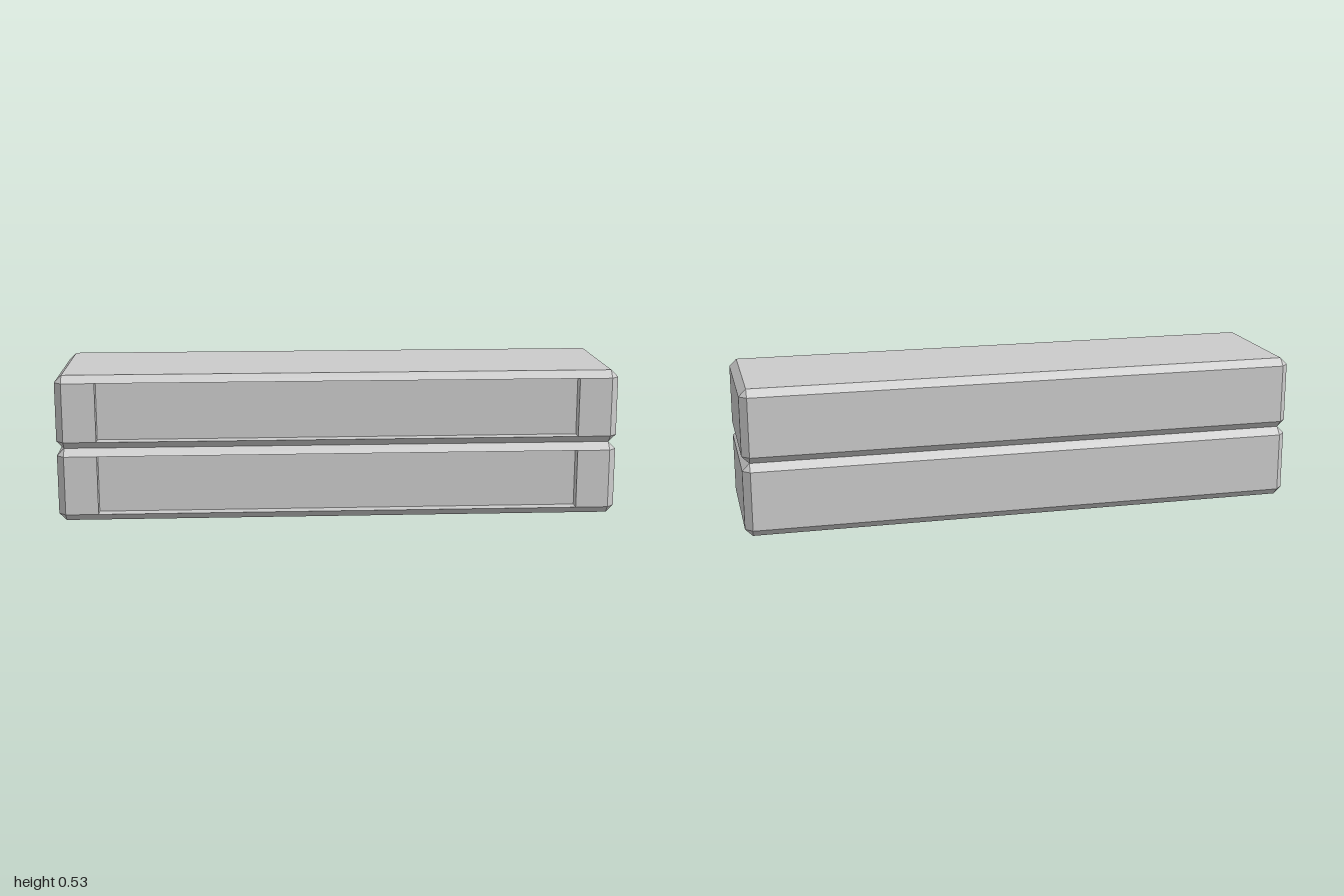
import * as THREE from 'three';

const HALF = [1, 0.1315, 0.259]; // half width, height and depth of one block
const BEVEL = 0.026;
const RECESS_X = 0.858;          // half width of the front recess
const RECESS_DEPTH = 0.043;
const SIGNS = [-1, 1];

// Adds a convex flat face as a fan, turned so that it faces along 'out'.
function addFace(positions, points, out) {
  const p = points.map((q) => new THREE.Vector3(...q));
  const normal = p[1].clone().sub(p[0]).cross(p[2].clone().sub(p[0]));
  if (normal.dot(new THREE.Vector3(...out)) < 0) p.reverse();
  for (let i = 1; i < p.length - 1; i++) {
    for (const v of [p[0], p[i], p[i + 1]]) positions.push(v.x, v.y, v.z);
  }
}

// Corner point lying on the face of the given axis: pulled in on the other two.
const corner = (signs, axis) =>
  signs.map((s, i) => s * (i === axis ? HALF[i] : HALF[i] - BEVEL));

// Bevelled block with a shallow recess across its front.
function blockGeometry() {
  const pos = [];
  const ring = [[-1, -1], [1, -1], [1, 1], [-1, 1]];
  for (let a = 0; a < 3; a++) {
    const b = (a + 1) % 3, c = (a + 2) % 3;
    const at = (sa, sb, sc) => {
      const s = [0, 0, 0];
      s[a] = sa; s[b] = sb; s[c] = sc;
      return s;
    };
    // flat sides, leaving the front open
    for (const s of SIGNS) {
      if (a === 2 && s === 1) continue;
      addFace(pos, ring.map(([u, v]) => corner(at(s, u, v), a)), at(s, 0, 0));
    }
    // edge bevels running along this axis
    for (const [u, v] of ring) {
      const lo = at(-1, u, v), hi = at(1, u, v);
      addFace(pos, [corner(lo, b), corner(hi, b), corner(hi, c), corner(lo, c)], at(0, u, v));
    }
  }
  // corner triangles
  for (const x of SIGNS) for (const [y, z] of ring) {
    const s = [x, y, z];
    addFace(pos, [0, 1, 2].map((axis) => corner(s, axis)), s);
  }
  // front cheeks, recess walls and recess back
  const X = HALF[0] - BEVEL, Y = HALF[1] - BEVEL, F = HALF[2], B = F - RECESS_DEPTH, R = RECESS_X;
  for (const s of SIGNS) {
    addFace(pos, [[s * R, -Y, F], [s * X, -Y, F], [s * X, Y, F], [s * R, Y, F]], [0, 0, 1]);
    addFace(pos, [[s * R, -Y, F], [s * R, -Y, B], [s * R, Y, B], [s * R, Y, F]], [-s, 0, 0]);
    addFace(pos, [[-R, s * Y, F], [R, s * Y, F], [R, s * Y, B], [-R, s * Y, B]], [0, -s, 0]);
  }
  addFace(pos, ring.map(([u, v]) => [u * R, v * Y, B]), [0, 0, 1]);

  const geometry = new THREE.BufferGeometry();
  geometry.setAttribute('position', new THREE.Float32BufferAttribute(pos, 3));
  geometry.computeVertexNormals();
  return geometry;
}

export function createModel() {
  const group = new THREE.Group();
  group.name = 'stackedBlocks';
  const material = new THREE.MeshStandardMaterial({ color: 0xcccccc, flatShading: true });
  const geometry = blockGeometry();
  ['lowerBlock', 'upperBlock'].forEach((name, i) => {
    const block = new THREE.Mesh(geometry, material);
    block.name = name;
    block.position.y = HALF[1] * (2 * i + 1);
    group.add(block);
  });
  return group;
}
